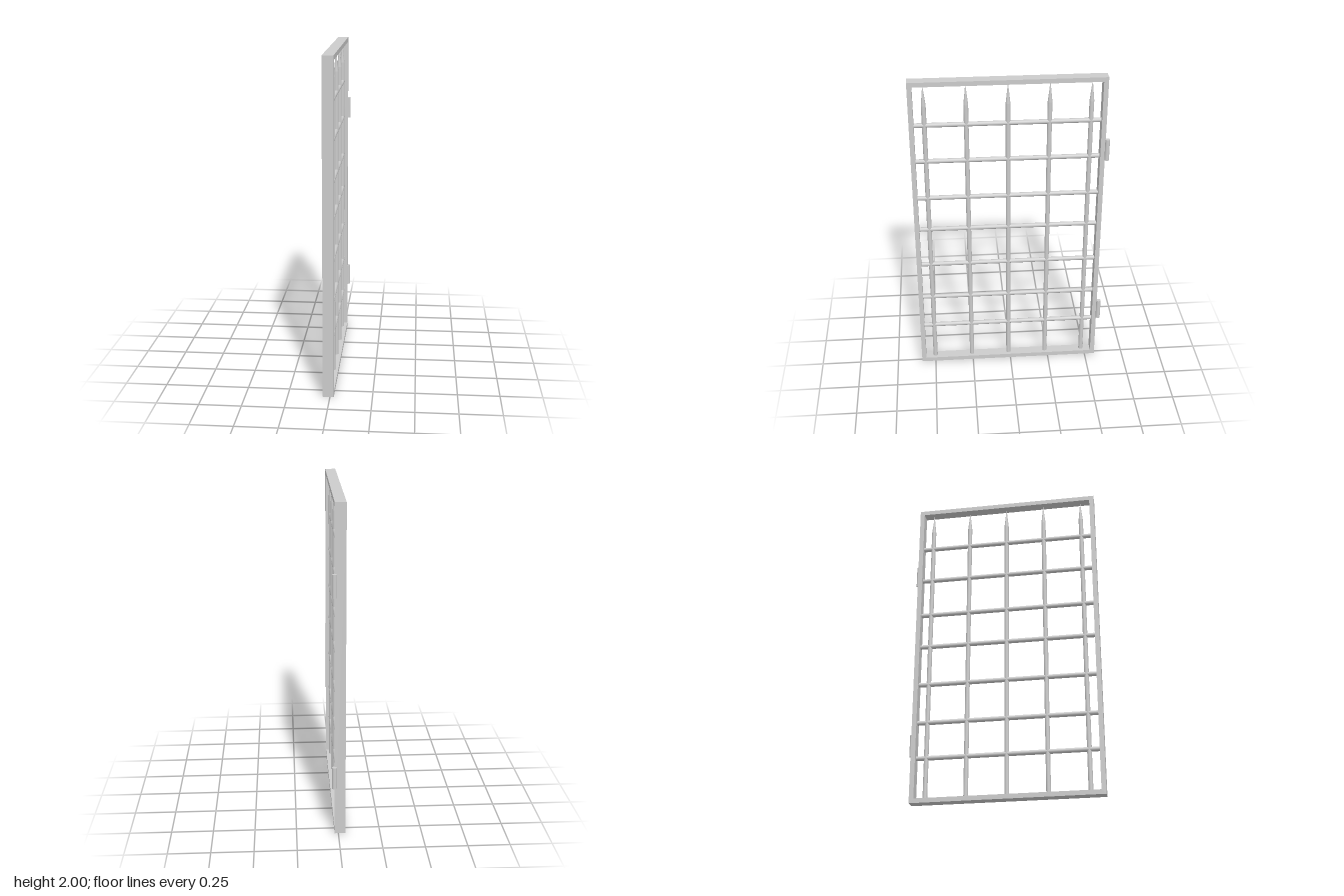
import * as THREE from 'three';

export function createModel() {
  const model = new THREE.Group();
  const mat = new THREE.MeshStandardMaterial({ color: 0xcccccc });
  const add = (name, geo, x, y, z) => {
    const mesh = new THREE.Mesh(geo, mat);
    mesh.name = name;
    mesh.position.set(x, y, z);
    model.add(mesh);
    return mesh;
  };
  const midX = -0.01;

  // Rectangular surround with a thin rim, extruded through its depth
  const z0 = -0.565, z1 = 0.59, rim = 0.028, depth = 0.065;
  const outline = new THREE.Shape([
    new THREE.Vector2(-z1, 0), new THREE.Vector2(-z0, 0),
    new THREE.Vector2(-z0, 2), new THREE.Vector2(-z1, 2),
  ]);
  outline.holes.push(new THREE.Path([
    new THREE.Vector2(-z1 + rim, rim), new THREE.Vector2(-z1 + rim, 2 - rim),
    new THREE.Vector2(-z0 - rim, 2 - rim), new THREE.Vector2(-z0 - rim, rim),
  ]));
  const frameGeo = new THREE.ExtrudeGeometry(outline, { depth, bevelEnabled: false });
  add('frame', frameGeo, midX - depth / 2, 0, 0).rotation.y = Math.PI / 2;

  // Upright bars ending in pointed tips
  const r = 0.014, shoulder = 1.845, tip = 1.975;
  const barGeo = new THREE.CylinderGeometry(r, r, shoulder - 0.02, 16);
  const tipGeo = new THREE.ConeGeometry(r, tip - shoulder, 16);
  for (let i = 0; i < 5; i++) {
    const z = 0.5 - i * 0.244;
    add('uprightBar', barGeo, midX, (shoulder + 0.02) / 2, z);
    add('barTip', tipGeo, midX, (shoulder + tip) / 2, z);
  }

  // Round cross bars, unevenly spaced
  const crossGeo = new THREE.CylinderGeometry(r, r, 1.11, 16).rotateX(Math.PI / 2);
  for (const y of [0.28, 0.505, 0.755, 1.013, 1.235, 1.485, 1.72])
    add('crossBar', crossGeo, midX, y, (z0 + z1) / 2);

  // Hinge barrels on the rear corner
  const hingeGeo = new THREE.CylinderGeometry(0.014, 0.014, 0.135, 20);
  for (const y of [0.373, 1.538]) add('hinge', hingeGeo, 0.024, y, -0.576);

  return model;
}
